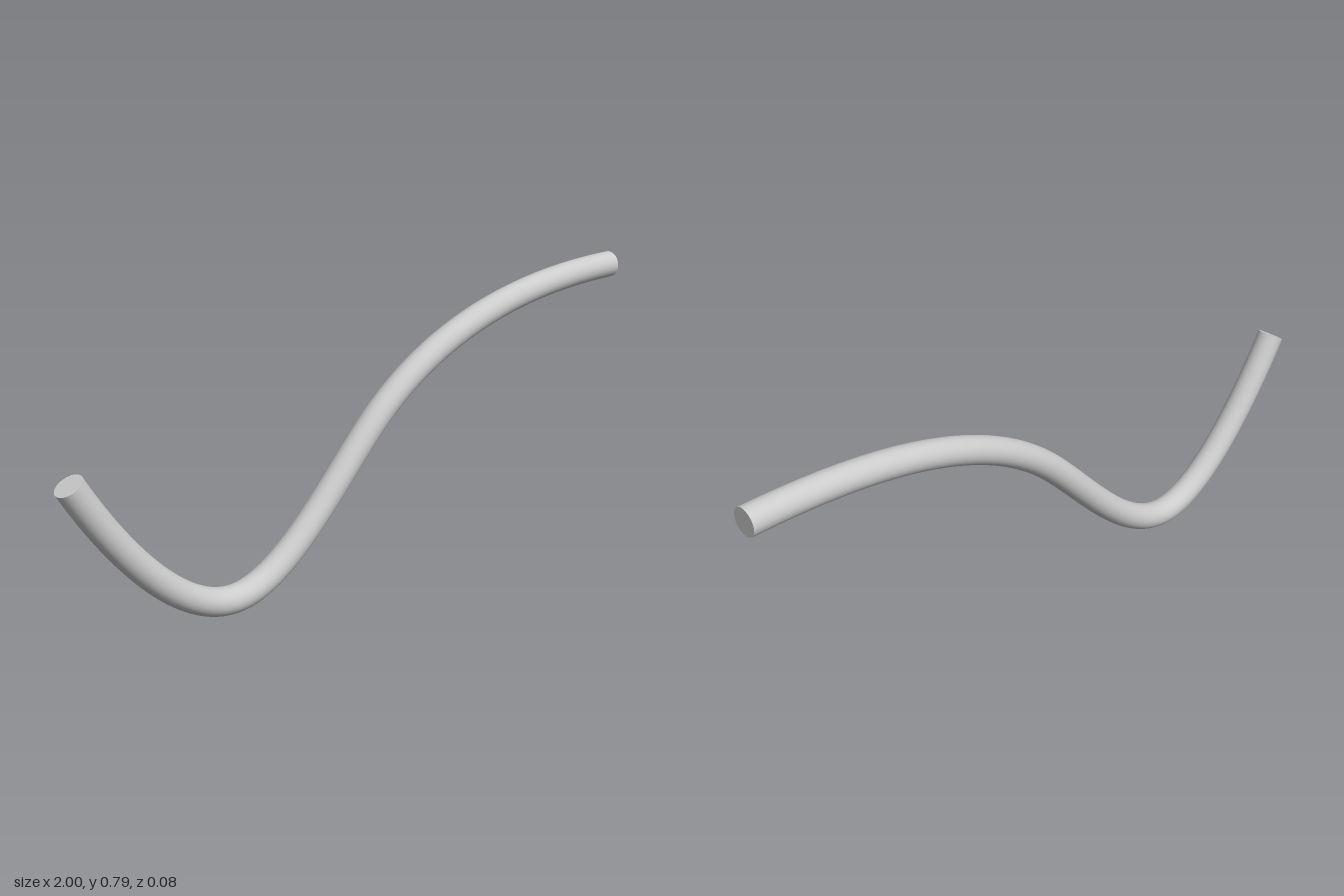
import * as THREE from 'three';

const RADIUS = 0.04;
const SIDES = 32;

export function createModel() {
  const group = new THREE.Group();
  group.name = 'bentRod';
  const material = new THREE.MeshStandardMaterial({ color: 0xcccccc });

  // Centre line: steep drop, rounded dip, then a rise that levels out
  const v = (x, y) => new THREE.Vector3(x, y, 0);
  const path = new THREE.CurvePath();
  const addBend = (...points) => path.add(new THREE.CubicBezierCurve3(...points));
  addBend(v(-0.965, 0.487), v(-0.845, 0.277), v(-0.66, 0.043), v(-0.49, 0.043));
  addBend(v(-0.49, 0.043), v(-0.32, 0.043), v(-0.15, 0.28), v(0, 0.43));
  addBend(v(0, 0.43), v(0.22, 0.65), v(0.55, 0.752), v(1, 0.752));

  // Round rod swept along the centre line
  const rod = new THREE.Mesh(new THREE.TubeGeometry(path, 128, RADIUS, SIDES), material);
  rod.name = 'rod';
  group.add(rod);

  // Flat discs closing both ends, facing outward
  for (const [name, t, sign] of [['rightEndCap', 0, -1], ['leftEndCap', 1, 1]]) {
    const cap = new THREE.Mesh(new THREE.CircleGeometry(RADIUS, SIDES), material);
    cap.name = name;
    cap.position.copy(path.getPointAt(t));
    cap.lookAt(cap.position.clone().addScaledVector(path.getTangentAt(t), sign));
    group.add(cap);
  }
  return group;
}
